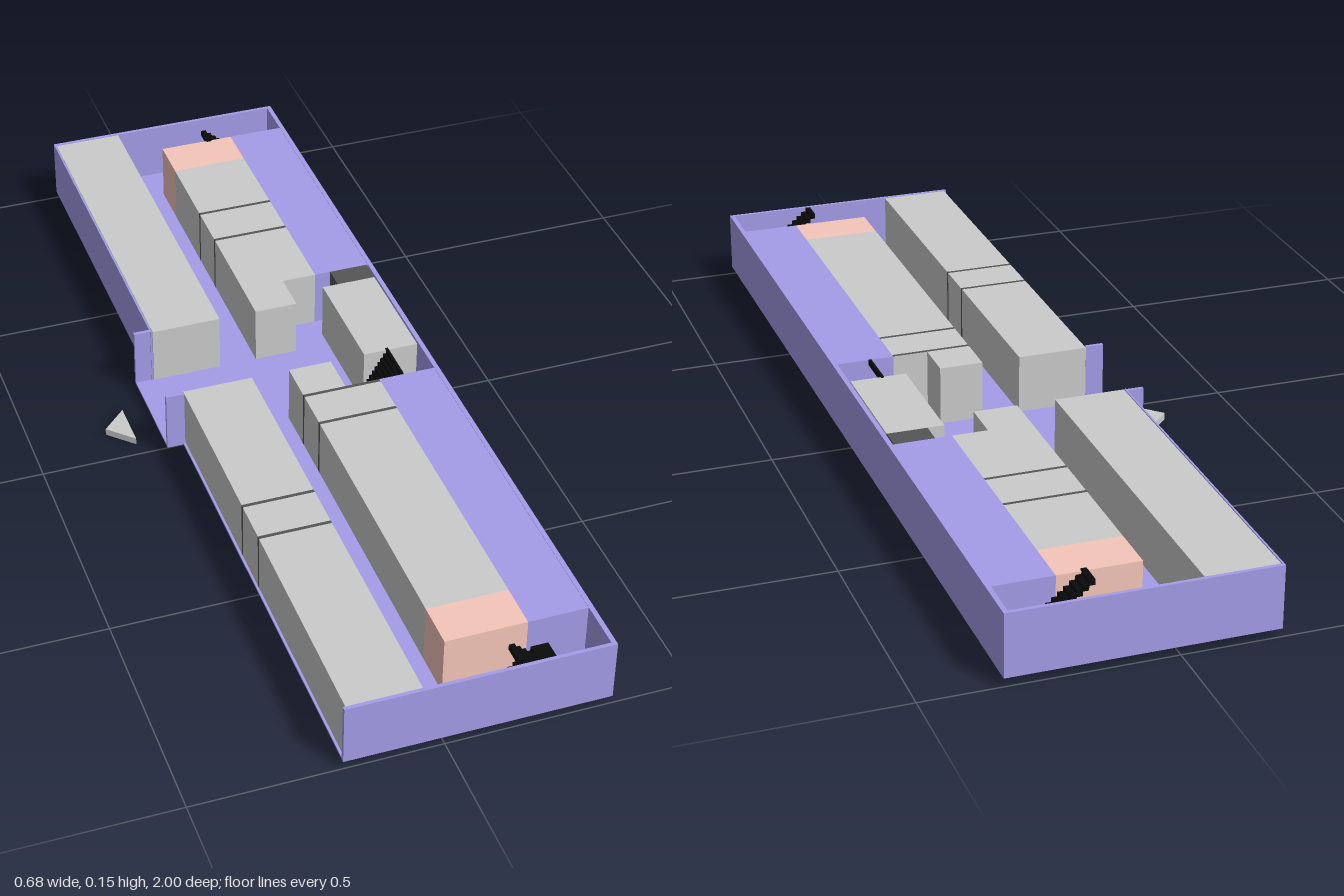
import * as THREE from 'three';

const LOW = 0.017, FLOOR = 0.021, TOP = 0.148, RIM = 0.149;

export function createModel() {
  const model = new THREE.Group();
  const mat = (color) => new THREE.MeshStandardMaterial({ color });
  const purple = mat(0xa59de9), grey = mat(0xcccccc), pink = mat(0xf6c6ba);
  const dark = mat(0x555555), black = mat(0x0a0a0a);

  // Axis-aligned box given by its limits
  function box(name, m, x0, x1, z0, z1, y0 = FLOOR, y1 = TOP, parent = model) {
    const mesh = new THREE.Mesh(new THREE.BoxGeometry(x1 - x0, y1 - y0, z1 - z0), m);
    mesh.position.set((x0 + x1) / 2, (y0 + y1) / 2, (z0 + z1) / 2);
    mesh.name = name;
    parent.add(mesh);
    return mesh;
  }

  // Floor and outer walls
  box('floorSlab', purple, -0.2, 0.338, -1, 1, LOW, FLOOR);
  box('rightOuterWall', purple, 0.328, 0.338, -1, 1, LOW, RIM);
  box('backWall', purple, -0.2, 0.338, -1, -0.992, LOW, RIM);
  box('frontWall', purple, -0.2, 0.338, 0.992, 1, LOW, RIM);
  box('leftOuterWall', purple, -0.2, -0.196, -1, -0.21, LOW, RIM);

  // Entrance porch, open at its outer side
  box('porchFloor', purple, -0.235, -0.2, -0.22, 0.02, LOW, FLOOR);
  box('porchBackWall', purple, -0.235, -0.196, -0.22, -0.212, LOW, RIM);
  box('porchFrontWall', purple, -0.235, -0.196, 0.012, 0.02, LOW, RIM);

  // Row of rooms, with thin dark partitions between them
  function roomRow(name, x0, x1, z0, z1, cuts) {
    const row = new THREE.Group();
    row.name = name;
    model.add(row);
    const t = 0.004;
    let start = z0;
    for (const c of cuts) {
      box('room', grey, x0, x1, start, c - t, FLOOR, TOP, row);
      box('partition', dark, x0, x1, c - t, c + t, FLOOR, TOP, row);
      start = c + t;
    }
    box('room', grey, x0, x1, start, z1, FLOOR, TOP, row);
  }
  roomRow('backLeftRooms', -0.195, -0.045, -0.992, -0.21, []);
  roomRow('frontLeftRooms', -0.195, -0.045, 0.01, 0.992, [0.4, 0.5]);
  roomRow('backMiddleRooms', 0.037, 0.205, -0.8, -0.3, [-0.61, -0.5]);
  roomRow('frontMiddleRooms', 0.037, 0.205, 0.1, 0.795, [0.104, 0.2]);
  box('backNarrowRoom', grey, 0.037, 0.13, -0.3, -0.21);
  box('frontNarrowRoom', grey, 0.037, 0.13, 0.01, 0.1);
  box('lobbyRoom', grey, 0.205, 0.325, -0.25, 0.01);
  box('shaft', dark, 0.24, 0.325, -0.3, -0.25);

  // Pink end rooms and the purple halls along the right wall
  box('backEndRoom', pink, 0.037, 0.205, -0.9, -0.8);
  box('frontEndRoom', pink, 0.037, 0.205, 0.795, 0.89);
  box('backHall', purple, 0.205, 0.328, -0.9, -0.3);
  box('frontHall', purple, 0.205, 0.328, 0.1, 0.89);

  // Straight flight of steps rising from (xa, ya) to (xb, yb)
  function flight(parent, xa, xb, ya, yb, z0, z1, n) {
    const run = (xb - xa) / n, rise = (yb - ya) / n;
    for (let i = 0; i < n; i++) {
      const p = xa + i * run, q = p + run, y = ya + i * rise;
      box('step', black, Math.min(p, q), Math.max(p, q), z0, z1, y, y + rise * 1.3, parent);
    }
  }

  // Middle stair, climbing towards the right wall
  const middleStair = new THREE.Group();
  middleStair.name = 'middleStair';
  model.add(middleStair);
  flight(middleStair, 0.175, 0.26, 0.009, 0.147, 0.005, 0.098, 14);

  // Two-flight stairs at both ends, turning on a landing
  for (const [name, z0] of [['backStair', -0.99], ['frontStair', 0.89]]) {
    const stair = new THREE.Group();
    stair.name = name;
    model.add(stair);
    const mid = z0 + 0.047, end = z0 + 0.094;
    flight(stair, 0.145, 0.225, 0.012, 0.08, z0, mid - 0.002, 7);
    box('landing', black, 0.225, 0.25, z0, end, 0.076, 0.083, stair);
    flight(stair, 0.225, 0.145, 0.083, 0.149, mid + 0.002, end, 7);
  }

  // Triangular entrance marker on the ground, pointing away from the porch
  const tri = new THREE.Shape();
  tri.moveTo(-0.34, 0.085);
  tri.lineTo(-0.288, 0.033);
  tri.lineTo(-0.288, 0.137);
  const geo = new THREE.ExtrudeGeometry(tri, { depth: 0.015, bevelEnabled: false });
  geo.rotateX(-Math.PI / 2);
  const marker = new THREE.Mesh(geo, grey);
  marker.name = 'entranceMarker';
  model.add(marker);

  return model;
}
